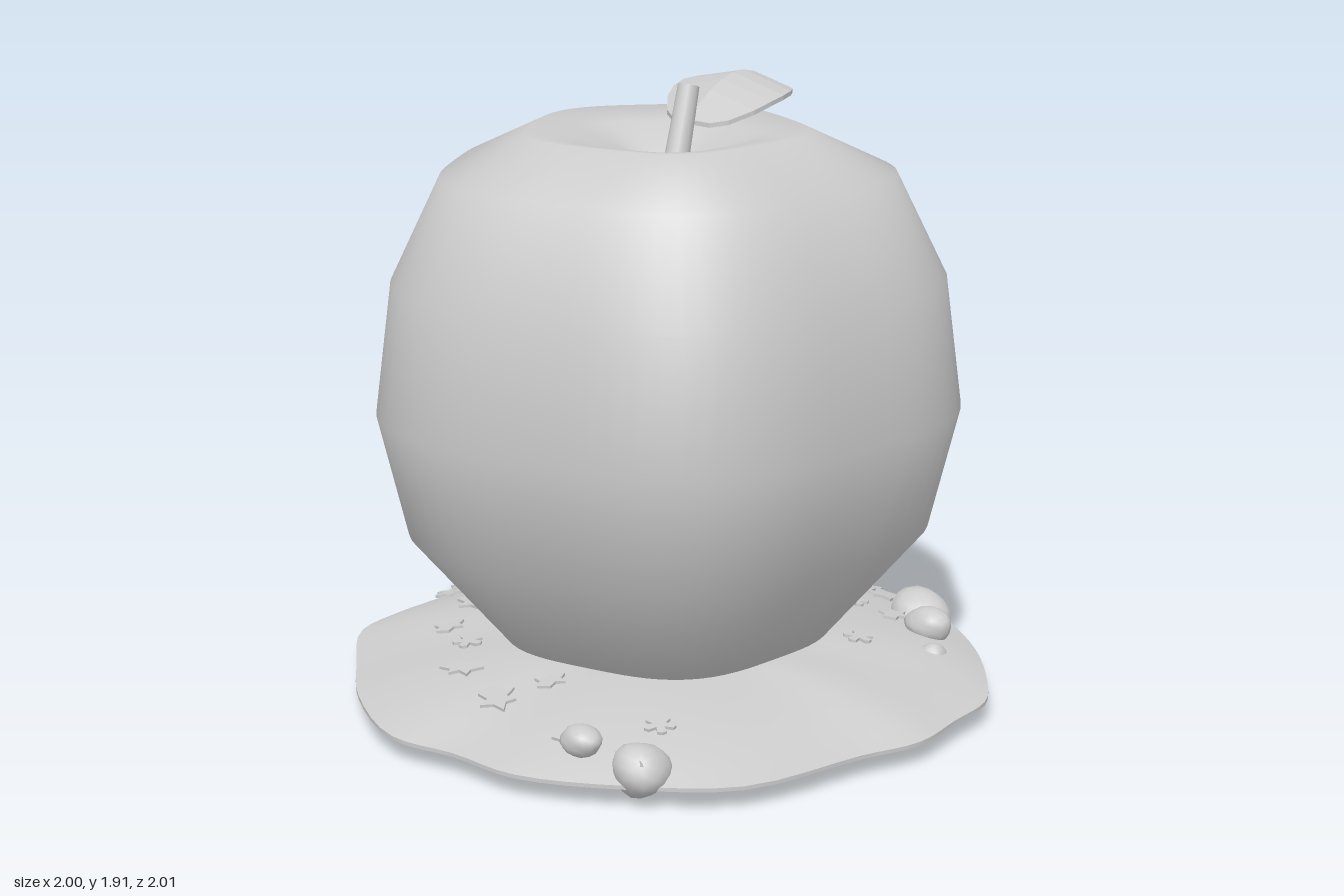
import * as THREE from 'three';
import { mergeVertices } from 'three/addons/utils/BufferGeometryUtils.js';

const stone = new THREE.MeshStandardMaterial({ color: 0xcccccc, side: THREE.DoubleSide });
stone.name = 'plain grey';

// Closed-ring surface: rows run from bottom to top, point(row, angle) gives [x, y, z]
function ringSurface(rows, n, point) {
  const pos = [], idx = [];
  rows.forEach((row) => {
    for (let j = 0; j < n; j++) pos.push(...point(row, (j / n) * Math.PI * 2));
  });
  for (let i = 0; i < rows.length - 1; i++) {
    for (let j = 0; j < n; j++) {
      const a = i * n + j, b = i * n + ((j + 1) % n);
      idx.push(a, b, b + n, a, b + n, a + n);
    }
  }
  const g = new THREE.BufferGeometry();
  g.setAttribute('position', new THREE.Float32BufferAttribute(pos, 3));
  g.setIndex(idx);
  g.computeVertexNormals();
  return g;
}

function add(group, name, geometry) {
  const m = new THREE.Mesh(geometry, stone);
  m.name = name;
  group.add(m);
  return m;
}

// Uneven outline of the mound, [x, z], counter-clockwise from the front
const outline = [
  [0.1, 1], [0.3, 0.965], [0.48, 0.93], [0.62, 0.82], [0.8, 0.62], [0.95, 0.35], [1, 0.1], [0.95, -0.25],
  [0.83, -0.45], [0.74, -0.64], [0.42, -0.86], [0.2, -1], [0.08, -1], [-0.1, -0.94], [-0.32, -0.92],
  [-0.52, -0.87], [-0.72, -0.64], [-0.88, -0.42], [-1, -0.1], [-0.95, 0.12], [-0.92, 0.36],
  [-0.74, 0.64], [-0.5, 0.87], [-0.1, 0.95],
];
const edge = new THREE.CatmullRomCurve3(outline.map(([x, z]) => new THREE.Vector3(x, 0, z)), true);
const moundHeight = (s) => 0.078 + 0.115 * (1 - s ** 3);

// Soft pebble with gentle bumps
function pebble(seed, sx, sy, sz) {
  let g = new THREE.IcosahedronGeometry(1, 2);
  g.deleteAttribute('normal');
  g.deleteAttribute('uv');
  g = mergeVertices(g);
  const p = g.attributes.position;
  for (let i = 0; i < p.count; i++) {
    const x = p.getX(i), y = p.getY(i), z = p.getZ(i);
    const k = 0.93 + 0.07 * Math.sin(3 * x + seed) + 0.06 * Math.sin(4 * y + 2 * z + seed * 2);
    p.setXYZ(i, x * k * sx, y * k * sy, z * k * sz);
  }
  g.computeVertexNormals();
  return g;
}

// Thin flat ornament from polar radii, lying on the ground
function flatStar(points, outer, inner, stretch) {
  const s = new THREE.Shape();
  for (let i = 0; i < points * 4; i++) {
    const a = (i / (points * 4)) * Math.PI * 2;
    const r = [inner, outer * 0.92, outer, outer * 0.92][i % 4];
    const x = Math.cos(a) * r * stretch, y = Math.sin(a) * r;
    i ? s.lineTo(x, y) : s.moveTo(x, y);
  }
  return new THREE.ExtrudeGeometry(s, { depth: 0.009, bevelEnabled: false }).rotateX(-Math.PI / 2);
}

// Pointed leaflet cluster
function leafCluster(size) {
  const s = new THREE.Shape();
  const pts = [[-1, 0], [-0.5, 0.3], [-0.45, 0.75], [0, 0.35], [0.4, 0.6], [0.45, 0.22], [1, 0],
    [0.45, -0.25], [0.3, -0.7], [-0.05, -0.35], [-0.6, -0.55]];
  s.setFromPoints(pts.map(([x, y]) => new THREE.Vector2(x * size, y * size)));
  return new THREE.ExtrudeGeometry(s, { depth: 0.009, bevelEnabled: false }).rotateX(-Math.PI / 2);
}

export function createModel() {
  const model = new THREE.Group();
  model.name = 'appleOnMound';

  // Apple body: slightly five-sided, with a dimple on top
  const profile = [[0, 0.14], [0.35, 0.16], [0.5, 0.22], [0.79, 0.58], [0.877, 0.96], [0.825, 1.36],
    [0.675, 1.67], [0.42, 1.79], [0.27, 1.765], [0.14, 1.71], [0.06, 1.64], [0, 1.61]];
  add(model, 'appleBody', ringSurface(profile, 80, ([r, y], a) => {
    const k = r * (1 - 0.037 * Math.cos(5 * a));
    return [k * Math.sin(a) + 0.003, y, k * Math.cos(a) + 0.013];
  }));

  // Stem leaning out of the dimple
  const base = new THREE.Vector3(0.03, 1.6, 0.015), top = new THREE.Vector3(0.124, 1.9, -0.01);
  const dir = top.clone().sub(base);
  const stem = add(model, 'stem', new THREE.CylinderGeometry(0.033, 0.04, dir.length(), 16));
  stem.position.copy(base).add(top).multiplyScalar(0.5);
  stem.quaternion.setFromUnitVectors(new THREE.Vector3(0, 1, 0), dir.normalize());

  // Arched leaf, folded along its midrib: [x, half width]
  const ribs = [[0.11, 0.005], [0.13, 0.08], [0.17, 0.135], [0.25, 0.19], [0.32, 0.213], [0.39, 0.22],
    [0.46, 0.205], [0.53, 0.167], [0.59, 0.115], [0.64, 0.06], [0.68, 0.02], [0.72, 0.003]];
  const pos = [], idx = [];
  ribs.forEach(([x, w]) => {
    const t = (x - 0.11) / 0.61;
    const y = 1.8 + 0.103 * Math.sin(Math.PI * t);
    const z = -0.19 * t;
    const thick = 0.014;
    // Section loop: left edge, ridge, right edge, then the underside back
    [[-1, 0], [0, 0], [1, 0], [1, thick], [0, thick], [-1, thick]].forEach(([side, d]) => {
      pos.push(x, y - Math.abs(side) * w * 0.21 - d, z + side * w);
    });
  });
  for (let i = 0; i < ribs.length - 1; i++) {
    for (let j = 0; j < 6; j++) {
      const a = i * 6 + j, b = i * 6 + ((j + 1) % 6);
      idx.push(a, b, b + 6, a, b + 6, a + 6);
    }
  }
  let leaf = new THREE.BufferGeometry();
  leaf.setAttribute('position', new THREE.Float32BufferAttribute(pos, 3));
  leaf.setIndex(idx);
  leaf = leaf.toNonIndexed();
  leaf.computeVertexNormals();
  add(model, 'leaf', leaf);

  // Mound: flat underside, thin rim, domed top; [fraction of radius, height]
  const rows = [[0, 0.066], [0.5, 0.066], [1, 0.066], [1, 0.066], [1, 0.078], [1, 0.078]];
  [0.93, 0.85, 0.75, 0.6, 0.4, 0.2, 0].forEach((s) => rows.push([s, moundHeight(s)]));
  add(model, 'mound', ringSurface(rows, 96, ([s, y], a) => {
    const p = edge.getPoint(a / (Math.PI * 2));
    const wave = s < 1 && y > 0.07 ? 0.008 * s * Math.sin(7 * a + 1) : 0;
    return [p.x * s, y + wave, p.z * s];
  }));

  // Pebbles half sunk in the rim: x, y, z, half sizes
  [
    [0.85, 0.1, 0.33, 0.1, 0.098, 0.115],
    [0.71, 0.155, 0.5, 0.075, 0.055, 0.085],
    [-0.67, 0.105, 0.63, 0.09, 0.088, 0.09],
    [0.89, 0.1, -0.14, 0.07, 0.095, 0.1],
    [0.9, 0.15, -0.22, 0.05, 0.04, 0.06],
    [-0.74, 0.16, 0.45, 0.065, 0.045, 0.07],
    [0.6, 0.1, 0.62, 0.05, 0.06, 0.05],
  ].forEach(([x, y, z, sx, sy, sz], i) => {
    add(model, 'pebble', pebble(i * 1.7, sx, sy, sz)).position.set(x, y, z);
  });

  // Ground ornaments follow the slope of the mound
  const place = (mesh, x, z, turn, lift = 0.008) => {
    const s = Math.min(1, Math.hypot(x, z) / 0.97);
    mesh.position.set(x, moundHeight(s) + lift, z);
    const normal = new THREE.Vector3(x, 0, z).multiplyScalar(0.35 * s * s).setY(1).normalize();
    mesh.quaternion.setFromUnitVectors(new THREE.Vector3(0, 1, 0), normal);
    mesh.rotateY(turn);
  };

  // Small five-petal flowers
  [[0.25, -0.84], [-0.17, -0.85], [0.47, -0.66], [-0.5, -0.35], [0.42, 0.46], [0.68, 0.2], [-0.5, 0.52]]
    .forEach(([x, z], i) => place(add(model, 'flower', flatStar(5, 0.05, 0.02, 1)), x, z, i));

  // Fallen leaflets around the foot of the apple
  [[0.9, 0.08], [0.86, 0.17], [0.87, -0.24], [-0.09, -0.86], [0.5, -0.4], [0.62, -0.5], [0.2, -0.62],
    [0, -0.6], [-0.25, -0.62], [-0.45, -0.5], [-0.65, -0.2], [-0.72, 0.05], [-0.55, 0.1], [0.66, -0.1],
    [0.58, 0.1], [0.7, 0.36], [-0.72, 0.4]]
    .forEach(([x, z], i) => place(add(model, 'leaflet', leafCluster(0.06 + 0.012 * (i % 3))), x, z, i * 2.1, 0.014));

  // Upright blade beside the front pebble
  const blade = add(model, 'grassBlade', new THREE.ConeGeometry(0.03, 0.1, 4));
  blade.position.set(-0.71, 0.12, 0.68);
  blade.rotation.z = 0.4;
  return model;
}
